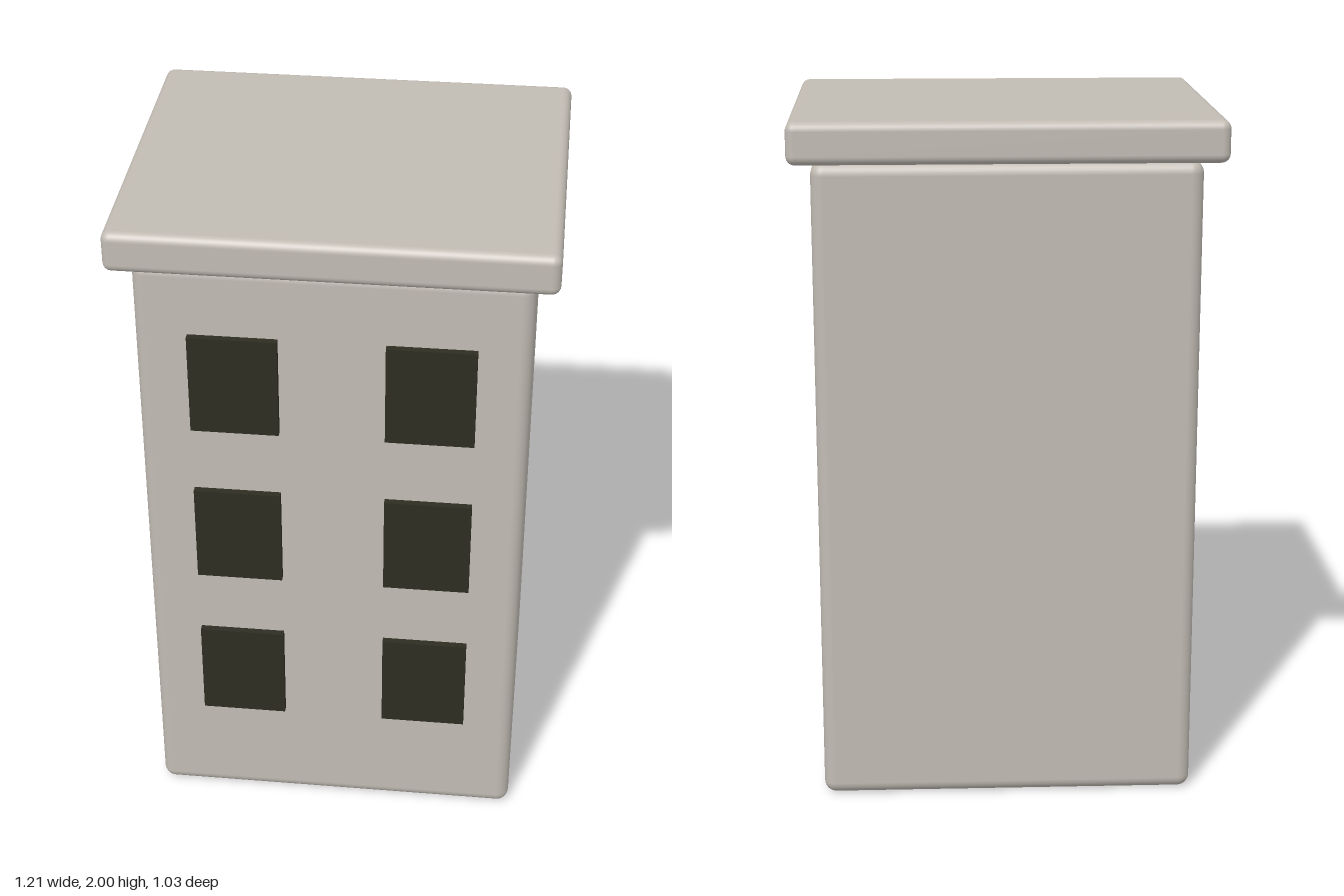
import * as THREE from 'three';
import { RoundedBoxGeometry } from 'three/addons/geometries/RoundedBoxGeometry.js';

export function createModel() {
  const group = new THREE.Group();
  group.name = 'building';

  const stone = new THREE.MeshStandardMaterial({ color: 0xc1bbb3 });
  stone.name = 'warm grey stone';
  const glass = new THREE.MeshStandardMaterial({ color: 0x2e2d22 });
  glass.name = 'dark window';

  const add = (name, geometry, material, x, y, z) => {
    const mesh = new THREE.Mesh(geometry, material);
    mesh.name = name;
    mesh.position.set(x, y, z);
    group.add(mesh);
  };

  // Tower block and overhanging roof slab, both with softened edges
  add('body', new RoundedBoxGeometry(1.086, 1.88, 0.908, 4, 0.036), stone, 0, 0.94, 0);
  add('roof', new RoundedBoxGeometry(1.21, 0.118, 1.03, 4, 0.025), stone, 0, 1.941, 0);

  // Two columns of three raised windows on the front wall
  const pane = new THREE.BoxGeometry(0.248, 0.304, 0.04);
  [0.492, 1.004, 1.517].forEach((y, floor) => {
    for (const side of [-1, 1]) {
      add(`${side > 0 ? 'left' : 'right'}Window${floor + 1}`, pane, glass, side * 0.272, y, 0.454);
    }
  });

  return group;
}
